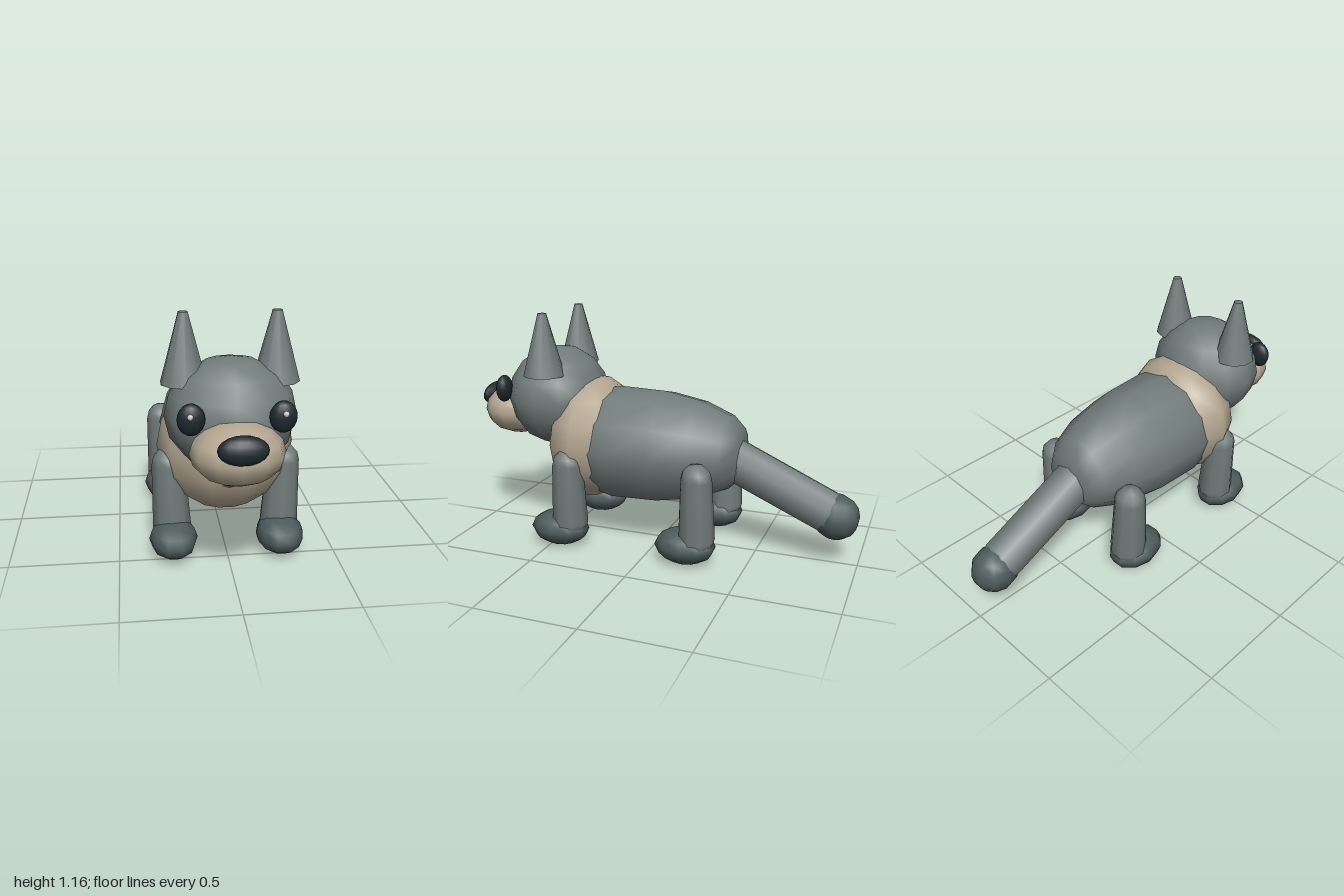
import * as THREE from 'three';

const mat = (color) => new THREE.MeshStandardMaterial({ color, roughness: 0.9 });

export function createModel() {
  const fur = mat(0x717c7a), cream = mat(0xb3a690), paw = mat(0x4e5c5c);
  const dark = mat(0x1e282d), shine = mat(0xcccccc);
  const group = new THREE.Group();

  const add = (name, geometry, material, x, y, z) => {
    const mesh = new THREE.Mesh(geometry, material);
    mesh.name = name;
    mesh.position.set(x, y, z);
    group.add(mesh);
    return mesh;
  };

  // Low-segment ellipsoid
  const ball = (name, material, [x, y, z], [rx, ry, rz], w = 10, h = 8) => {
    const mesh = add(name, new THREE.SphereGeometry(1, w, h), material, x, y, z);
    mesh.scale.set(rx, ry, rz);
    return mesh;
  };

  // Rounded, tapered limb running from a to b
  const limb = (name, material, a, b, ra, rb, sides = 9) => {
    const start = new THREE.Vector3(...a), end = new THREE.Vector3(...b);
    const axis = end.clone().sub(start), length = axis.length();
    const points = [];
    for (let i = 0; i <= 3; i++) {
      const t = (i / 3) * Math.PI / 2;
      points.push(new THREE.Vector2(ra * Math.sin(t), -ra * Math.cos(t)));
    }
    for (let i = 0; i <= 3; i++) {
      const t = (i / 3) * Math.PI / 2;
      points.push(new THREE.Vector2(rb * Math.cos(t), length + rb * Math.sin(t)));
    }
    const mesh = add(name, new THREE.LatheGeometry(points, sides), material, ...a);
    mesh.quaternion.setFromUnitVectors(new THREE.Vector3(0, 1, 0), axis.normalize());
    return mesh;
  };

  // Body: barrel along z, narrowing to the rump
  const profile = [
    [0, -0.425], [0.13, -0.415], [0.19, -0.35], [0.25, -0.2], [0.283, -0.02],
    [0.29, 0.22], [0.25, 0.4], [0.13, 0.56], [0, 0.605],
  ].map(([r, z]) => new THREE.Vector2(r, z));
  const body = add('body', new THREE.LatheGeometry(profile, 12), fur, 0, 0.498, 0);
  body.rotation.x = Math.PI / 2;

  // Chest ruff, head and muzzle
  ball('chestRuff', cream, [0, 0.515, 0.37], [0.315, 0.315, 0.225]);
  ball('head', fur, [0, 0.72, 0.57], [0.288, 0.255, 0.25], 12, 8);
  ball('muzzle', cream, [0, 0.63, 0.8], [0.2, 0.132, 0.182], 12, 8);
  ball('nose', dark, [0, 0.695, 0.956], [0.103, 0.06, 0.042], 14, 10).rotation.x = -0.25;

  // Tail with a darker tip
  limb('tail', fur, [0, 0.475, -0.36], [0, 0.26, -0.84], 0.108, 0.105, 10);
  ball('tailTip', paw, [0, 0.237, -0.886], [0.108, 0.112, 0.114]);

  for (const s of [1, -1]) {
    const side = s > 0 ? 'left' : 'right';

    // Blunt cone ears
    add(side + 'Ear', new THREE.CylinderGeometry(0.021, 0.103, 0.306, 10), fur, s * 0.199, 1.01, 0.547);

    // Eyes with a small highlight
    ball(side + 'Eye', dark, [s * 0.188, 0.77, 0.785], [0.058, 0.068, 0.036], 12, 10);
    ball(side + 'EyeHighlight', shine, [s * 0.193, 0.79, 0.817], [0.013, 0.013, 0.011], 8, 6);

    // Legs and paws
    for (const [end, legZ, pawZ] of [['Front', 0.402, 0.46], ['Back', -0.267, -0.21]]) {
      limb(side + end + 'Leg', fur, [s * 0.252, 0.13, legZ], [s * 0.266, 0.435, legZ], 0.09, 0.076);
      ball(side + end + 'Paw', paw, [s * 0.249, 0.088, pawZ], [0.112, 0.088, 0.152], 10, 6);
    }
  }
  return group;
}
